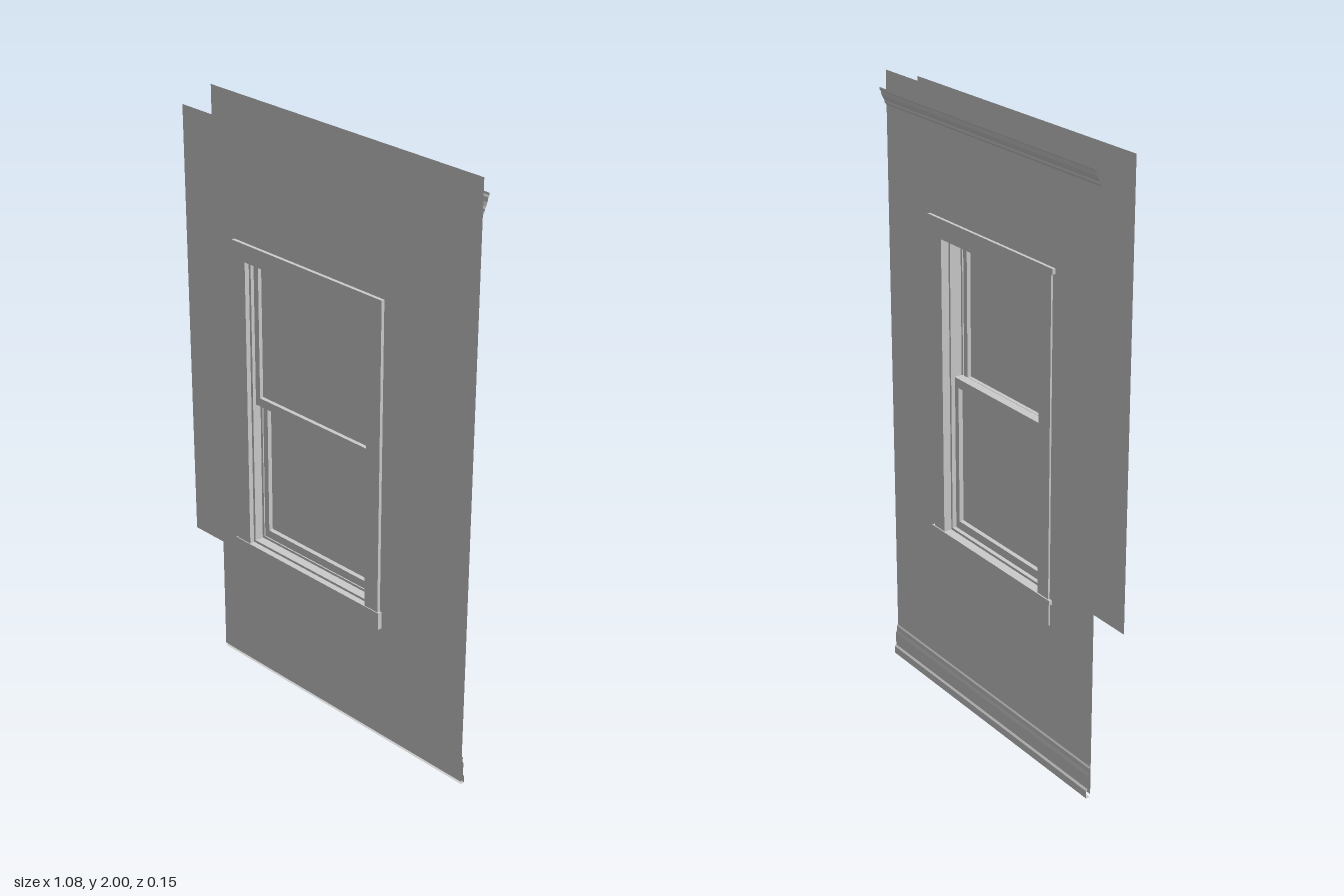
import * as THREE from 'three';

const mat = new THREE.MeshStandardMaterial({ color: 0xcccccc, side: THREE.DoubleSide });
const CX = -0.017; // the window sits slightly off the wall's centre

export function createModel() {
  const model = new THREE.Group();
  const windowUnit = new THREE.Group();
  windowUnit.name = 'window';
  windowUnit.position.x = CX;
  model.add(windowUnit);

  const add = (parent, name, geometry) => {
    const mesh = new THREE.Mesh(geometry, mat);
    mesh.name = name;
    parent.add(mesh);
    return mesh;
  };

  // Box given by its half width and its y and z limits
  const bar = (parent, name, hw, y0, y1, z0, z1, x = 0) =>
    add(parent, name, new THREE.BoxGeometry(hw * 2, y1 - y0, z1 - z0))
      .position.set(x, (y0 + y1) / 2, (z0 + z1) / 2);

  // Rectangle with a rectangular hole; both given as [x0, x1, y0, y1]
  const corners = ([x0, x1, y0, y1]) =>
    [[x0, y0], [x1, y0], [x1, y1], [x0, y1]].map(p => new THREE.Vector2(...p));
  const holed = (outer, inner) => {
    const shape = new THREE.Shape(corners(outer));
    shape.holes.push(new THREE.Path(corners(inner).reverse()));
    return shape;
  };
  const ring = (parent, name, outer, inner, z0, z1) =>
    add(parent, name, new THREE.ExtrudeGeometry(holed(outer, inner),
      { depth: z1 - z0, bevelEnabled: false })).position.z = z0;

  // Thin inner and outer wall sheets, each with the window opening
  const opening = [CX - 0.275, CX + 0.275, 0.56, 1.56];
  for (const [name, y0, y1, z] of [
    ['interiorWall', 0.01, 2, -0.053],
    ['exteriorWall', 0.517, 1.965, 0.06],
  ]) {
    add(model, name, new THREE.ShapeGeometry(
      holed([-0.542, 0.542, y0, y1], opening))).position.z = z;
  }

  // Open moulding: a [z, y] profile swept across the wall as flat strips
  const moulding = (name, profile) => {
    const group = new THREE.Group();
    group.name = name;
    for (let i = 0; i < profile.length - 1; i++) {
      const [[z0, y0], [z1, y1]] = [profile[i], profile[i + 1]];
      const strip = add(group, name + 'Strip',
        new THREE.PlaneGeometry(1.084, Math.hypot(z1 - z0, y1 - y0)));
      strip.position.set(0, (y0 + y1) / 2, (z0 + z1) / 2);
      strip.rotation.x = Math.atan2(z0 - z1, y0 - y1) + Math.PI;
    }
    model.add(group);
  };
  moulding('crownMoulding', [[-0.077, 1.95], [-0.077, 1.943], [-0.073, 1.938],
    [-0.07, 1.925], [-0.064, 1.913], [-0.06, 1.908], [-0.06, 1.9], [-0.054, 1.893]]);
  moulding('baseboard', [[-0.054, 0.105], [-0.058, 0.1], [-0.058, 0.085],
    [-0.062, 0.075], [-0.062, 0.03], [-0.068, 0.025], [-0.068, 0], [-0.054, 0]]);

  // Jamb lining through the wall, with stepped stops
  const open = [-0.255, 0.255, 0.575, 1.545];
  const inset = d => [open[0] + d, open[1] - d, open[2] + d, open[3] - d];
  ring(windowUnit, 'jamb', [-0.305, 0.305, 0.56, 1.597], open, -0.05, 0.06);
  ring(windowUnit, 'interiorStop', open, inset(0.008), -0.032, -0.018);
  ring(windowUnit, 'partingStop', open, inset(0.008), 0.012, 0.016);
  ring(windowUnit, 'exteriorStop', open, inset(0.008), 0.042, 0.054);

  // Casings on both faces: two legs and a head
  for (const [name, z0, z1] of [
    ['exteriorCasing', 0.055, 0.071],
    ['interiorCasing', -0.059, -0.04],
  ]) {
    for (const s of [-1, 1]) bar(windowUnit, name + 'Leg', 0.0275, 0.575, 1.545, z0, z1, s * 0.2815);
    bar(windowUnit, name + 'Head', 0.309, 1.545, 1.602, z0, z1);
  }
  bar(windowUnit, 'exteriorSill', 0.316, 0.516, 0.575, 0.058, 0.074);
  bar(windowUnit, 'interiorHeadCap', 0.32, 1.593, 1.61, -0.063, -0.028);
  bar(windowUnit, 'interiorStool', 0.32, 0.56, 0.575, -0.063, -0.028);
  bar(windowUnit, 'interiorApron', 0.312, 0.488, 0.56, -0.059, -0.028);

  // Two sashes, the upper one further out, each with a pane
  for (const [name, y0, y1, bottom, top, z0, z1] of [
    ['upperSash', 1.065, 1.54, 0.028, 0.012, 0.016, 0.042],
    ['lowerSash', 0.58, 1.095, 0.03, 0.03, -0.018, 0.012],
  ]) {
    const sash = new THREE.Group();
    sash.name = name;
    const pane = [-0.228, 0.228, y0 + bottom, y1 - top];
    ring(sash, name + 'Frame', [-0.25, 0.25, y0, y1], pane, z0, z1);
    const glass = add(sash, name + 'Pane', new THREE.PlaneGeometry(0.456, pane[3] - pane[2]));
    glass.position.set(0, (pane[2] + pane[3]) / 2, (z0 + z1) / 2);
    windowUnit.add(sash);
  }
  return model;
}
